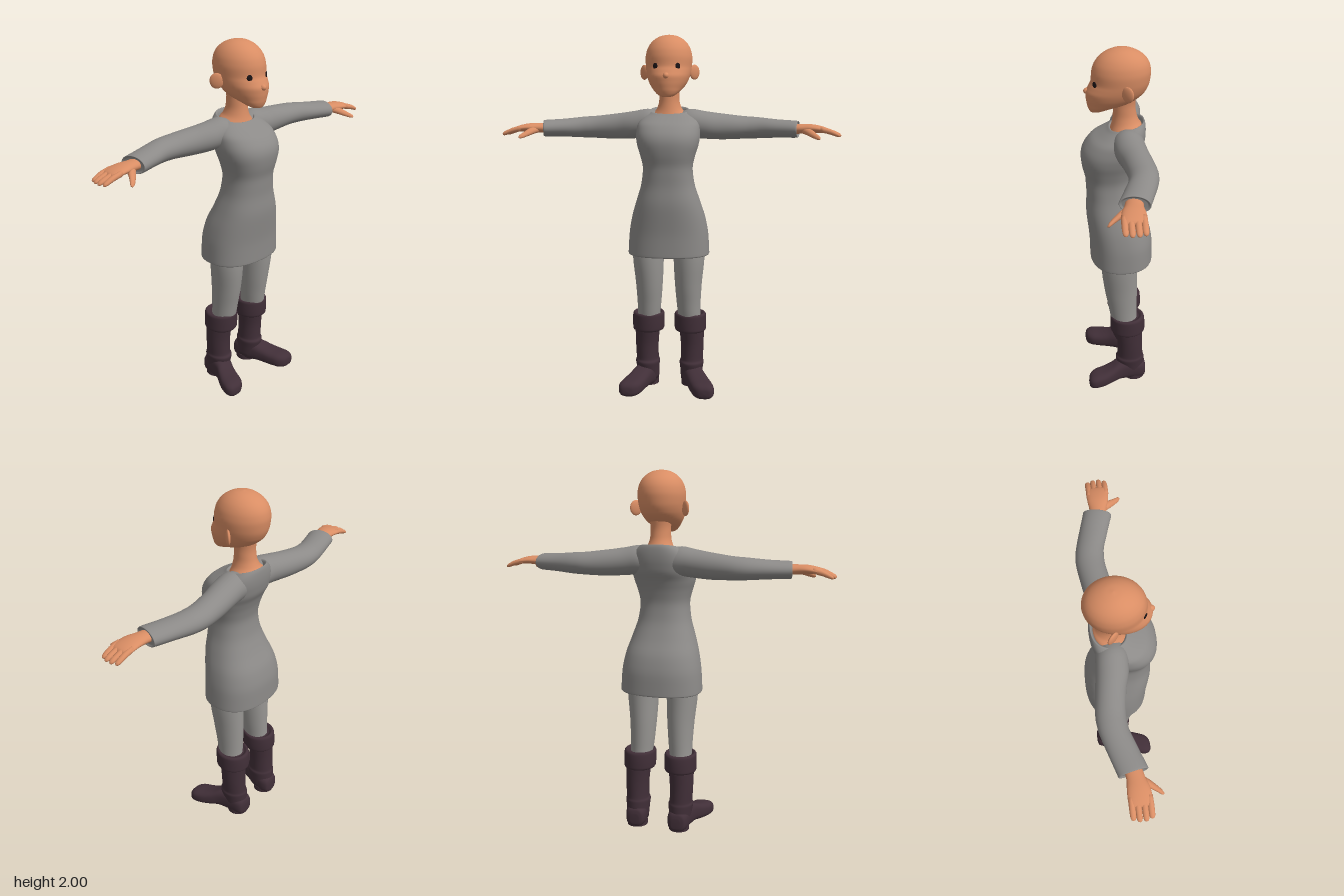
import * as THREE from 'three';

const material = (name, color, side = THREE.FrontSide) => {
  const m = new THREE.MeshStandardMaterial({ color, side });
  m.name = name;
  return m;
};

// Monotone smooth interpolation between rows of numbers
function smoothRows(rows, steps) {
  const out = [];
  const slope = (a, b) => (a * b <= 0 ? 0 : (2 * a * b) / (a + b));
  for (let i = 0; i < rows.length - 1; i++) {
    const p0 = rows[Math.max(i - 1, 0)], p1 = rows[i], p2 = rows[i + 1];
    const p3 = rows[Math.min(i + 2, rows.length - 1)];
    for (let s = 0; s < steps; s++) {
      const u = s / steps, u2 = u * u, u3 = u2 * u;
      out.push(p1.map((v, k) => {
        const d = p2[k] - v;
        const m1 = i === 0 ? d : slope(v - p0[k], d);
        const m2 = i === rows.length - 2 ? d : slope(d, p3[k] - p2[k]);
        return (2 * u3 - 3 * u2 + 1) * v + (u3 - 2 * u2 + u) * m1
          + (3 * u2 - 2 * u3) * p2[k] + (u3 - u2) * m2;
      }));
    }
  }
  out.push(rows[rows.length - 1]);
  return out;
}

// Capped skin over oval sections stacked along an axis (0 = x, 1 = y, 2 = z).
// Row: [position, centre1, centre2, radius1, radius2, tilt1, tilt2]
// with (1, 2) = (z, y) for x, (x, z) for y and (y, x) for z.
function loft(axis, rows, { seg = 32, steps = 4, power = 2 } = {}) {
  const full = smoothRows(rows.map((r) => [...r, 0, 0].slice(0, 7)), steps);
  const a1 = (axis + 2) % 3, a2 = (axis + 1) % 3;
  const pos = [], index = [];
  const bend = (v) => Math.sign(v) * Math.abs(v) ** (2 / power);
  for (const [t, c1, c2, r1, r2, t1, t2] of full) {
    for (let j = 0; j < seg; j++) {
      const a = (j / seg) * Math.PI * 2, p = [0, 0, 0];
      const d1 = r1 * bend(Math.cos(a)), d2 = r2 * bend(Math.sin(a));
      p[axis] = t + t1 * d1 + t2 * d2;
      p[a1] = c1 + d1;
      p[a2] = c2 + d2;
      pos.push(...p);
    }
  }
  for (let i = 0; i < full.length - 1; i++) {
    for (let j = 0; j < seg; j++) {
      const a = i * seg + j, b = i * seg + ((j + 1) % seg);
      index.push(a, a + seg, b, b, a + seg, b + seg);
    }
  }
  for (const i of [0, full.length - 1]) {
    const p = [0, 0, 0], c = pos.length / 3;
    [p[axis], p[a1], p[a2]] = full[i];
    pos.push(...p);
    for (let j = 0; j < seg; j++) {
      const a = i * seg + j, b = i * seg + ((j + 1) % seg);
      index.push(c, i ? b : a, i ? a : b);
    }
  }
  const g = new THREE.BufferGeometry();
  g.setAttribute('position', new THREE.Float32BufferAttribute(pos, 3));
  g.setIndex(index);
  g.computeVertexNormals();
  return g;
}

const ball = (x, y, z, sx, sy, sz, turn = 0) =>
  new THREE.SphereGeometry(1, 20, 14).scale(sx, sy, sz).rotateY(turn).translate(x, y, z);

// Copy reflected in x with its winding corrected
function mirrored(geometry) {
  const g = geometry.clone().scale(-1, 1, 1);
  const ix = g.index;
  for (let i = 0; i < ix.count; i += 3) {
    const b = ix.getX(i + 1);
    ix.setX(i + 1, ix.getX(i + 2));
    ix.setX(i + 2, b);
  }
  g.computeVertexNormals();
  return g;
}

export function createModel() {
  const model = new THREE.Group();
  model.name = 'standingWoman';
  const skin = material('skin', 0xd98d64);
  const dress = material('dressGrey', 0x8c8a88, THREE.DoubleSide);
  const tights = material('tightsGrey', 0x979592);
  const leather = material('bootLeather', 0x412f38);
  const eyeDark = material('eyeDark', 0x1c1416);

  const add = (name, geometry, mat) => {
    const mesh = new THREE.Mesh(geometry, mat);
    mesh.name = name;
    model.add(mesh);
  };
  const addPair = (name, geometry, mat) => {
    add(name + 'Left', geometry, mat);
    add(name + 'Right', mirrored(geometry), mat);
  };
  // Upright section from its front and back depth
  const fb = (y, rx, front, back, tilt = 0) =>
    [y, 0, (front + back) / 2, rx, (front - back) / 2, 0, tilt];

  // Dress body, from inside the hem up to the tilted neckline
  add('dress', loft(1, [
    fb(0.93, 0.185, 0.12, -0.14), fb(0.81, 0.208, 0.135, -0.172), fb(0.792, 0.222, 0.148, -0.186),
    fb(0.8, 0.228, 0.155, -0.192), fb(0.9, 0.222, 0.157, -0.19), fb(1.0, 0.205, 0.166, -0.17),
    fb(1.1, 0.175, 0.174, -0.122), fb(1.2, 0.145, 0.17, -0.085), fb(1.28, 0.136, 0.174, -0.075),
    fb(1.35, 0.15, 0.189, -0.086), fb(1.41, 0.168, 0.197, -0.105), fb(1.46, 0.175, 0.188, -0.13),
    fb(1.51, 0.172, 0.152, -0.142), fb(1.555, 0.15, 0.098, -0.147, -0.1),
    fb(1.585, 0.118, 0.06, -0.143, -0.2), fb(1.595, 0.105, 0.045, -0.137, -0.22),
    fb(1.585, 0.096, 0.036, -0.128, -0.22), fb(1.55, 0.09, 0.03, -0.12, -0.22),
  ], { seg: 48, power: 2.35 }), dress);

  // Sleeves with a slanted cuff
  addPair('sleeve', loft(0, [
    [0.04, -0.045, 1.51, 0.07, 0.065], [0.12, -0.047, 1.521, 0.083, 0.08],
    [0.2, -0.055, 1.512, 0.083, 0.076], [0.3, -0.075, 1.503, 0.077, 0.071],
    [0.42, -0.09, 1.498, 0.075, 0.062], [0.48, -0.086, 1.497, 0.074, 0.059],
    [0.6, -0.052, 1.494, 0.072, 0.05, -0.2], [0.7, -0.02, 1.492, 0.074, 0.046, -0.2],
    [0.707, -0.019, 1.492, 0.071, 0.043, -0.2], [0.7, -0.02, 1.492, 0.058, 0.033, -0.2],
  ]), dress);

  // Hands: palm, four fingers and thumb
  addPair('palm', loft(0, [
    [0.67, -0.022, 1.493, 0.042, 0.028], [0.73, -0.012, 1.495, 0.045, 0.026],
    [0.78, -0.006, 1.497, 0.055, 0.023], [0.83, -0.004, 1.492, 0.059, 0.019],
    [0.86, -0.003, 1.486, 0.055, 0.014], [0.87, -0.003, 1.484, 0.03, 0.006],
  ]), skin);
  [[-0.047, 0.925], [-0.018, 0.934], [0.013, 0.935], [0.042, 0.925]].forEach(([z, tip], i) => {
    addPair('finger' + (i + 1), loft(0, [
      [0.82, z, 1.494, 0.014, 0.015], [0.87, z, 1.482, 0.0155, 0.0145],
      [tip - 0.02, z, 1.468, 0.0145, 0.012], [tip - 0.005, z, 1.462, 0.01, 0.008],
      [tip, z, 1.46, 0.002, 0.002],
    ], { seg: 12, steps: 3 }), skin);
  });
  addPair('thumb', loft(2, [
    [-0.01, 1.488, 0.735, 0.018, 0.03], [0.04, 1.48, 0.758, 0.018, 0.024],
    [0.08, 1.463, 0.785, 0.014, 0.018], [0.105, 1.451, 0.805, 0.01, 0.013],
    [0.115, 1.446, 0.812, 0.002, 0.002],
  ], { seg: 14 }), skin);

  // Neck, spreading into the chest below the neckline
  add('neck', loft(1, [
    fb(1.53, 0.115, 0.065, -0.13, -0.2), fb(1.57, 0.096, 0.045, -0.128, -0.2),
    fb(1.605, 0.068, 0.032, -0.112, -0.1), fb(1.65, 0.056, 0.025, -0.098),
    fb(1.7, 0.055, 0.024, -0.092), fb(1.77, 0.065, 0.02, -0.1),
  ]), skin);

  // Head, chin to crown
  add('head', loft(1, [
    fb(1.665, 0.006, 0.132, 0.115), fb(1.668, 0.028, 0.142, 0.09), fb(1.678, 0.048, 0.149, 0.06),
    fb(1.695, 0.067, 0.156, 0.01), fb(1.715, 0.085, 0.16, -0.06), fb(1.745, 0.104, 0.164, -0.112),
    fb(1.78, 0.117, 0.163, -0.146), fb(1.805, 0.122, 0.15, -0.158), fb(1.83, 0.125, 0.138, -0.165),
    fb(1.87, 0.128, 0.135, -0.17), fb(1.91, 0.122, 0.125, -0.165), fb(1.95, 0.103, 0.099, -0.143),
    fb(1.98, 0.071, 0.058, -0.102), fb(1.995, 0.037, 0.017, -0.06), fb(2.0, 0.004, -0.018, -0.026),
  ], { seg: 40 }), skin);
  add('nose', ball(0, 1.777, 0.15, 0.018, 0.018, 0.026), skin);
  addPair('ear', ball(0.138, 1.8, -0.04, 0.012, 0.041, 0.037, -0.73), skin);
  addPair('eye', ball(0.06, 1.828, 0.121, 0.015, 0.017, 0.004, 0.6), eyeDark);

  // Legs
  addPair('leg', loft(1, [
    [0.35, 0.12, -0.04, 0.06, 0.068], [0.44, 0.115, -0.026, 0.064, 0.076],
    [0.52, 0.112, -0.019, 0.069, 0.083], [0.62, 0.111, -0.01, 0.076, 0.092],
    [0.79, 0.115, 0, 0.088, 0.1], [0.95, 0.108, 0, 0.092, 0.1],
  ]), tights);

  // Boots: turned-down cuff, shaft and splayed foot
  addPair('bootCuff', loft(1, [
    [0.345, 0.125, -0.053, 0.06, 0.065], [0.338, 0.122, -0.05, 0.08, 0.086],
    [0.35, 0.121, -0.049, 0.09, 0.099], [0.39, 0.12, -0.048, 0.091, 0.1],
    [0.432, 0.12, -0.046, 0.09, 0.098], [0.444, 0.119, -0.043, 0.08, 0.088],
    [0.43, 0.117, -0.04, 0.062, 0.072],
  ]), leather);
  addPair('bootShaft', loft(1, [
    [0.04, 0.125, -0.075, 0.06, 0.07], [0.11, 0.127, -0.066, 0.066, 0.08],
    [0.145, 0.128, -0.062, 0.07, 0.083], [0.165, 0.129, -0.064, 0.064, 0.075],
    [0.25, 0.131, -0.062, 0.066, 0.073], [0.36, 0.127, -0.055, 0.072, 0.08],
  ]), leather);
  addPair('bootFoot', loft(2, [
    [-0.156, 0.05, 0.122, 0.028, 0.025], [-0.148, 0.055, 0.124, 0.05, 0.046],
    [-0.11, 0.062, 0.125, 0.062, 0.06], [-0.05, 0.07, 0.132, 0.069, 0.062],
    [0.0, 0.068, 0.148, 0.06, 0.059], [0.05, 0.056, 0.172, 0.05, 0.062],
    [0.1, 0.048, 0.192, 0.045, 0.066], [0.14, 0.045, 0.204, 0.043, 0.064],
    [0.17, 0.041, 0.212, 0.037, 0.05], [0.184, 0.038, 0.216, 0.022, 0.028],
    [0.187, 0.036, 0.217, 0.004, 0.005],
  ], { power: 2.8 }), leather);
  addPair('bootHeel', new THREE.CylinderGeometry(0.058, 0.058, 0.03, 24)
    .scale(1, 1, 1.05).translate(0.125, 0.015, -0.088), leather);
  return model;
}
